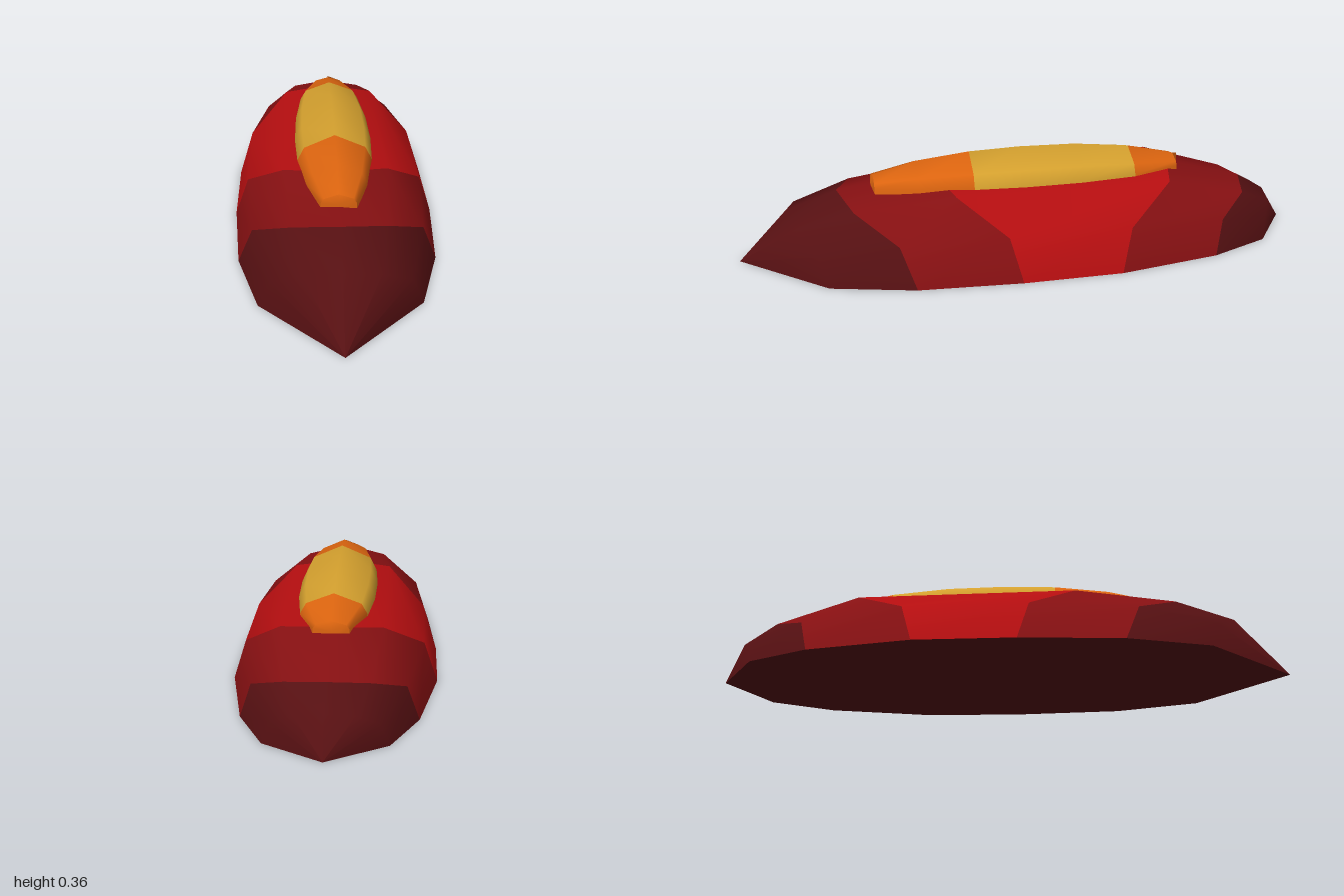
import * as THREE from 'three';

const mat = (name, color, side = THREE.FrontSide) => {
  const m = new THREE.MeshStandardMaterial({ color, side });
  m.name = name;
  return m;
};

// Mirrors a half section (rim to ridge) into a full arch from +x to -x.
const arch = half => [...half, ...half.slice(0, -1).reverse().map(([x, y, z]) => [-x, y, z])];

// Smooth skin over a run of arches ordered front to back.
function skin(name, halves, material) {
  const rings = halves.map(arch), n = rings[0].length, index = [];
  for (let i = 0; i < rings.length - 1; i++) {
    for (let j = 0; j < n - 1; j++) {
      const a = i * n + j, b = a + n;
      index.push(a, b, b + 1, a, b + 1, a + 1);
    }
  }
  const g = new THREE.BufferGeometry();
  g.setAttribute('position', new THREE.Float32BufferAttribute(rings.flat(2), 3));
  g.setIndex(index);
  g.computeVertexNormals();
  const mesh = new THREE.Mesh(g, material);
  mesh.name = name;
  return mesh;
}

export function createModel() {
  const model = new THREE.Group();
  model.name = 'pod';
  const bright = mat('bright red', 0xb50e10);
  const mid = mat('deep red', 0x861012);
  const dark = mat('maroon', 0x561012);
  const amber = mat('amber', 0xd4a02e);
  const orange = mat('orange', 0xdb640f);

  // Hull sections: rim, shoulder, upper shoulder, ridge
  const tip = z => Array.from({ length: 4 }, () => [0, 0, z]);
  const hull = [
    tip(1),
    [[0.26, 0, 0.70], [0.22, 0.10, 0.73], [0.12, 0.16, 0.80], [0, 0.18, 0.83]],
    [[0.33, 0, 0.41], [0.28, 0.14, 0.46], [0.15, 0.22, 0.60], [0, 0.245, 0.65]],
    [[0.35, 0, 0.05], [0.303, 0.15, 0.09], [0.175, 0.258, 0.25], [0, 0.27, 0.30]],
    [[0.345, 0, -0.30], [0.298, 0.147, -0.34], [0.165, 0.25, -0.51], [0, 0.262, -0.55]],
    [[0.28, 0, -0.66], [0.24, 0.12, -0.69], [0.13, 0.168, -0.80], [0, 0.18, -0.83]],
    [[0.19, 0, -0.87], [0.16, 0.075, -0.885], [0.09, 0.108, -0.92], [0, 0.118, -0.93]],
    tip(-1),
  ];
  model.add(
    skin('nose', hull.slice(0, 3), dark),
    skin('frontBand', hull.slice(2, 4), mid),
    skin('middleBand', hull.slice(3, 5), bright),
    skin('rearBand', hull.slice(4, 6), mid),
    skin('tail', hull.slice(5), dark),
  );

  // Flat underside following the rim
  const rim = hull.map(h => h[0]);
  const outline = [...rim, ...rim.slice(1, -1).reverse().map(([x, y, z]) => [-x, y, z])];
  const floor = new THREE.ShapeGeometry(
    new THREE.Shape(outline.map(([x, , z]) => new THREE.Vector2(x, z))));
  floor.rotateX(Math.PI / 2);
  const underside = new THREE.Mesh(floor, dark);
  underside.name = 'underside';
  model.add(underside);

  // Canopy sections from z, half width and top height; the foot sinks into the hull
  const section = (z, w, top) => [
    [w * 1.02, 0.2, z], [w, 0.262, z], [w * 0.82, 0.262 + (top - 0.262) * 0.5, z], [0, top, z],
  ];
  const end = (z, y) => Array.from({ length: 4 }, (_, i) => [0, 0.2 + (y - 0.2) * i / 3, z]);
  const canopy = [
    [0.52, 0.058, 0.293], [0.37, 0.1, 0.332], [0.18, 0.128, 0.353], [0, 0.135, 0.358],
    [-0.2, 0.13, 0.353], [-0.40, 0.11, 0.330], [-0.57, 0.058, 0.288],
  ].map(s => section(...s));
  model.add(
    skin('canopyFrontCap', [end(0.53, 0.293), canopy[0]], orange),
    skin('canopyFront', canopy.slice(0, 3), orange),
    skin('canopyMiddle', canopy.slice(2, 6), amber),
    skin('canopyRear', canopy.slice(5), orange),
    skin('canopyRearCap', [canopy[6], end(-0.585, 0.288)], orange),
  );
  return model;
}
